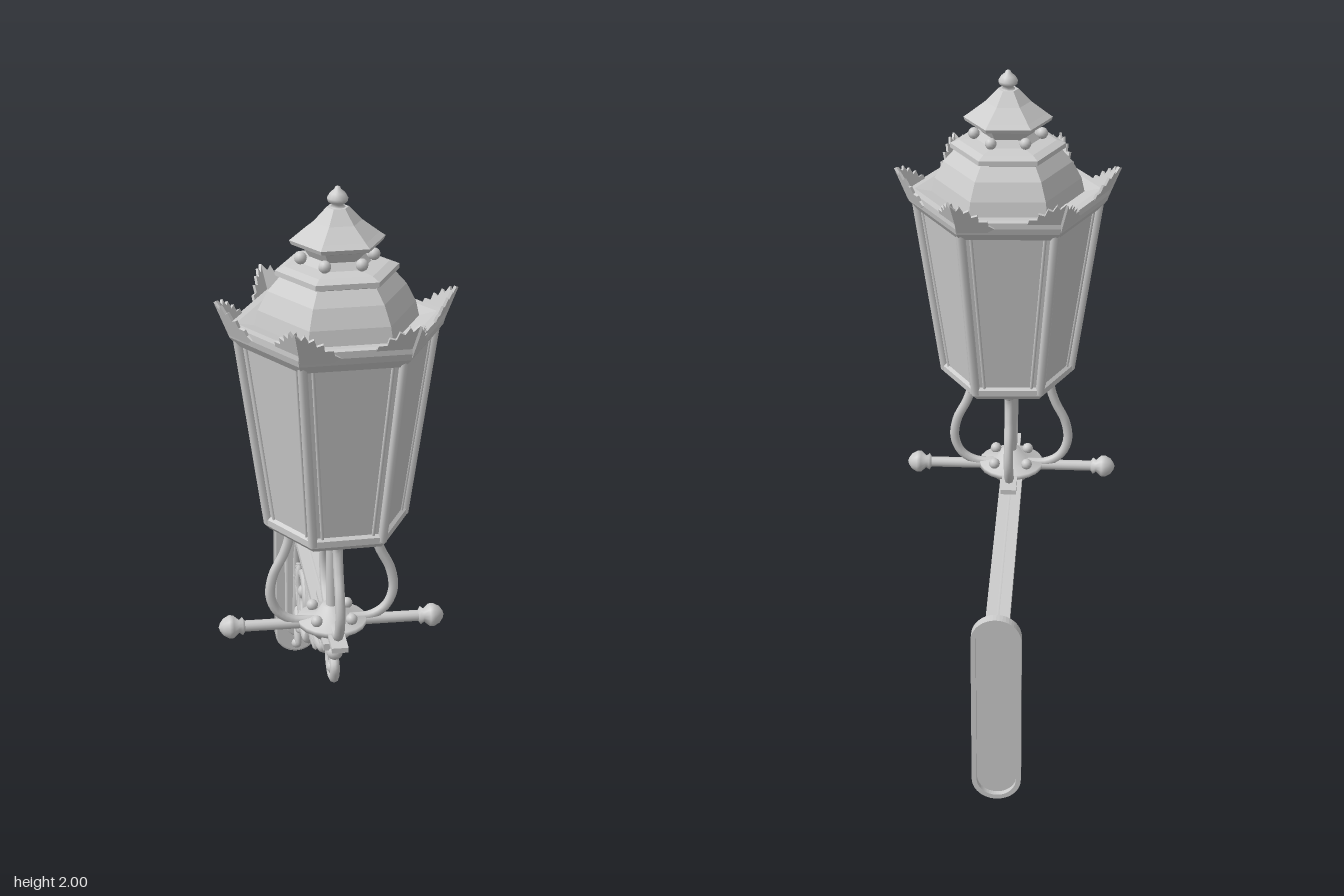
import * as THREE from 'three';

const V = (x, y, z) => new THREE.Vector3(x, y, z);
const metal = new THREE.MeshStandardMaterial({ color: 0xcccccc, side: THREE.DoubleSide });
const facet = new THREE.MeshStandardMaterial({ color: 0xcccccc, side: THREE.DoubleSide, flatShading: true });

function add(parent, name, geometry, material = metal) {
  const mesh = new THREE.Mesh(geometry, material);
  mesh.name = name;
  parent.add(mesh);
  return mesh;
}

const lathe = (pts, sides, start = 0) =>
  new THREE.LatheGeometry(pts.map(p => new THREE.Vector2(p[0], p[1])), sides, start);

// six-sided lathe with a corner on +x
const hex = (parent, name, pts) => add(parent, name, lathe(pts, 6, Math.PI / 2), facet);

const tube = (parent, name, pts, r, segs = 24) =>
  add(parent, name, new THREE.TubeGeometry(new THREE.CatmullRomCurve3(pts), segs, r, 8));

function ball(parent, name, x, y, z, r, sx = 1, sy = 1, sz = 1) {
  const m = add(parent, name, new THREE.SphereGeometry(r, 12, 8));
  m.position.set(x, y, z);
  m.scale.set(sx, sy, sz);
  return m;
}

// upright rounded-end outline
function stadium(path, r, y0, y1) {
  path.absarc(0, y1 - r, r, 0, Math.PI, false);
  path.absarc(0, y0 + r, r, Math.PI, 2 * Math.PI, false);
  path.closePath();
  return path;
}

const extrude = (shape, depth, bevel = 0) => new THREE.ExtrudeGeometry(shape, {
  depth, curveSegments: 12, bevelEnabled: bevel > 0, bevelSize: bevel, bevelThickness: bevel, bevelSegments: 2,
});

// scalloped half leaf that runs along one side of the rim
function crownWing(angle, side) {
  const s = new THREE.Shape();
  const edge = [[0, 0.085], [0.014, 0.066], [0.026, 0.08], [0.034, 0.058], [0.05, 0.066], [0.054, 0.042],
    [0.074, 0.048], [0.074, 0.026], [0.098, 0.026], [0.1, 0.01], [0.115, 0]];
  s.moveTo(0, -0.015);
  edge.forEach(p => s.lineTo(...p));
  s.lineTo(0.09, -0.015);
  const out = V(Math.cos(angle), 0, Math.sin(angle));
  const a = angle + side * Math.PI * 2 / 3;
  const along = V(Math.cos(a), 0, Math.sin(a));
  const up = V(0, 1, 0).addScaledVector(out, 0.4);
  const normal = along.clone().cross(up).normalize();
  const m = new THREE.Matrix4().makeBasis(along, up, normal).setPosition(out.multiplyScalar(0.312).setY(1.6));
  return extrude(s, 0.008).applyMatrix4(m);
}

function buildLantern() {
  const g = new THREE.Group();
  g.name = 'lantern';

  // tapered glazed body, recessed between its frame bars
  hex(g, 'glassPanes', [[0, 0.985], [0.202, 0.985], [0.282, 1.57]]);
  hex(g, 'bottomFrame', [[0.17, 0.965], [0.2, 0.965], [0.215, 0.98], [0.216, 1.0], [0.2, 1.012]]);
  hex(g, 'topFrame', [[0.27, 1.55], [0.29, 1.55], [0.31, 1.575], [0.316, 1.595], [0.316, 1.615],
    [0.29, 1.615], [0.235, 1.605]]);

  // roof, vented neck and cap
  hex(g, 'roof', [[0.238, 1.605], [0.228, 1.65], [0.2, 1.705], [0.165, 1.745], [0.178, 1.75],
    [0.178, 1.765], [0.15, 1.775], [0.1, 1.78]]);
  hex(g, 'neck', [[0.1, 1.775], [0.08, 1.8], [0.1, 1.83]]);
  hex(g, 'cap', [[0.09, 1.825], [0.132, 1.838], [0.137, 1.85], [0.12, 1.862], [0.07, 1.9], [0.032, 1.94], [0, 1.94]]);
  add(g, 'finial', lathe([[0.03, 1.93], [0.022, 1.94], [0.015, 1.946], [0.028, 1.956], [0.03, 1.966],
    [0.022, 1.98], [0.01, 1.99], [0.007, 1.997], [0, 2.0]], 14));

  for (let i = 0; i < 6; i++) {
    const a = i * Math.PI / 3, c = Math.cos(a), s = Math.sin(a);
    tube(g, 'cornerBar', [V(0.204 * c, 0.985, 0.204 * s), V(0.286 * c, 1.57, 0.286 * s)], 0.014, 1);
    for (const side of [-1, 1]) add(g, 'crownLeaf', crownWing(a, side), facet);
    ball(g, 'neckStud', 0.105 * c, 1.797, 0.105 * s, 0.018);
    // thin glazing strips next to each corner
    for (const d of [-1, 1]) {
      const t = a + d * 2 * Math.PI / 3;
      const w = (r, y) => V(r * c + 0.028 * Math.cos(t), y, r * s + 0.028 * Math.sin(t));
      tube(g, 'glazingStrip', [w(0.203, 0.99), w(0.283, 1.57)], 0.005, 1);
    }
  }
  g.rotation.y = 0.05;
  g.position.set(0.015, 0, 0.34);
  return g;
}

function buildStand() {
  const g = new THREE.Group();
  g.name = 'lanternStand';
  // four bowed legs around a gas pipe
  for (let i = 0; i < 4; i++) {
    const a = i * Math.PI / 2;
    const path = [[0.135, 0.975], [0.128, 0.93], [0.145, 0.87], [0.178, 0.8], [0.187, 0.73], [0.165, 0.675], [0.12, 0.645], [0.05, 0.64]];
    tube(g, 'bowedLeg', path.map(([r, y]) => V(r * Math.cos(a), y, r * Math.sin(a))), 0.015, 28);
    ball(g, 'legFoot', 0.135 * Math.cos(a), 0.965, 0.135 * Math.sin(a), 0.02);
    ball(g, 'collarStud', 0.075 * Math.cos(a + 0.78), 0.662, 0.075 * Math.sin(a + 0.78), 0.018);
  }
  add(g, 'gasPipe', new THREE.CylinderGeometry(0.018, 0.018, 0.36, 12)).position.y = 0.8;
  add(g, 'collar', lathe([[0, 0.585], [0.055, 0.59], [0.075, 0.615], [0.105, 0.63], [0.105, 0.645],
    [0.05, 0.655], [0.03, 0.69], [0, 0.69]], 20));
  add(g, 'seatStrip', new THREE.BoxGeometry(0.05, 0.016, 0.38)).position.y = 0.634;

  // ladder rest with knobbed ends
  const bar = add(g, 'ladderBar', new THREE.CylinderGeometry(0.017, 0.017, 0.6, 12));
  bar.rotation.z = Math.PI / 2;
  bar.position.y = 0.632;
  for (const s of [-1, 1]) {
    const knob = add(g, 'ladderBarKnob', lathe([[0.016, 0], [0.028, 0.008], [0.02, 0.018], [0.035, 0.035],
      [0.036, 0.048], [0.026, 0.066], [0.012, 0.076], [0, 0.08]], 14));
    knob.position.set(s * 0.265, 0.632, 0);
    knob.rotation.z = -s * Math.PI / 2;
  }
  g.position.set(0.003, 0, 0.33);
  return g;
}

function buildBracket() {
  const g = new THREE.Group();
  g.name = 'wallBracket';
  // hollow-backed wall plate
  const rim = stadium(new THREE.Shape(), 0.075, 0.004, 0.664);
  rim.holes.push(stadium(new THREE.Path(), 0.06, 0.019, 0.649));
  add(g, 'plateRim', extrude(rim, 0.03)).position.z = -0.635;
  add(g, 'plateFace', extrude(stadium(new THREE.Shape(), 0.068, 0.011, 0.657), 0.008, 0.005)).position.z = -0.613;
  add(g, 'plateRib', extrude(stadium(new THREE.Shape(), 0.034, 0.09, 0.61), 0.028, 0.006)).position.z = -0.602;
  for (const [x, y] of [[-0.055, 0.56], [0.055, 0.56], [0, 0.04]]) ball(g, 'plateBolt', x, y, -0.597, 0.018);

  // straight arm with a T section
  add(g, 'armTop', new THREE.BoxGeometry(0.072, 0.022, 1.03)).position.set(0, 0.597, -0.085);
  const tee = add(g, 'armWeb', new THREE.CylinderGeometry(0.024, 0.024, 1.02, 12));
  tee.rotation.x = Math.PI / 2;
  tee.position.set(0, 0.585, -0.085);

  // scrollwork, each strand as [radius, points of (z, y)]
  const strands = [
    [0.018, [[-0.58, 0.12], [-0.55, 0.24], [-0.53, 0.4], [-0.46, 0.51], [-0.33, 0.55], [-0.21, 0.51], [-0.165, 0.41],
      [-0.2, 0.29], [-0.3, 0.235], [-0.39, 0.27], [-0.425, 0.36], [-0.38, 0.43], [-0.31, 0.44], [-0.26, 0.39],
      [-0.275, 0.325], [-0.33, 0.31], [-0.362, 0.35], [-0.335, 0.385]]],
    [0.018, [[-0.3, 0.55], [-0.2, 0.55], [-0.13, 0.49], [-0.07, 0.42], [0.03, 0.405], [0.14, 0.435],
      [0.25, 0.5], [0.33, 0.56], [0.42, 0.575]]],
    [0.014, [[0.22, 0.475], [0.16, 0.46], [0.09, 0.46], [0.055, 0.5], [0.08, 0.545], [0.125, 0.54], [0.135, 0.505], [0.105, 0.495]]],
    [0.015, [[0.3, 0.545], [0.31, 0.49], [0.36, 0.465], [0.41, 0.48], [0.425, 0.525], [0.39, 0.545], [0.365, 0.52], [0.385, 0.503]]],
    [0.013, [[-0.17, 0.4], [-0.1, 0.44], [-0.06, 0.48], [-0.03, 0.53], [-0.07, 0.55], [-0.095, 0.52]]],
    [0.013, [[-0.3, 0.235], [-0.35, 0.21], [-0.42, 0.225], [-0.5, 0.29], [-0.54, 0.34]]],
    [0.013, [[-0.45, 0.515], [-0.52, 0.54], [-0.57, 0.58]]],
  ];
  for (const [r, pts] of strands) {
    tube(g, 'scroll', pts.map(([z, y]) => V(0, y, z)), r, pts.length * 6);
    const [z, y] = pts[pts.length - 1];
    ball(g, 'scrollEye', 0, y, z, r * 1.4);
  }

  // fans of slim leaves: z, y, direction, spread, count, length
  const fans = [[-0.1, 0.42, -1.6, 2.0, 5, 0.115], [-0.5, 0.4, -2.3, 1.5, 4, 0.1], [-0.56, 0.22, -1.1, 1.3, 4, 0.11],
    [-0.17, 0.46, 0.6, 1.3, 3, 0.08], [0.36, 0.53, -0.9, 1.6, 4, 0.08], [-0.36, 0.53, 3.9, 0.8, 3, 0.08],
    [-0.575, 0.14, -1.4, 0.5, 2, 0.09]];
  for (const [z, y, dir, spread, n, len] of fans) {
    for (let i = 0; i < n; i++) {
      const a = dir + spread * (i / (n - 1) - 0.5);
      const leaf = ball(g, 'leaf', 0, y + Math.sin(a) * len / 2, z + Math.cos(a) * len / 2, len / 2, 0.3, 0.26, 1);
      leaf.rotation.x = -a;
    }
  }
  return g;
}

export function createModel() {
  const model = new THREE.Group();
  model.name = 'wallLantern';
  model.add(buildLantern(), buildStand(), buildBracket());
  return model;
}
